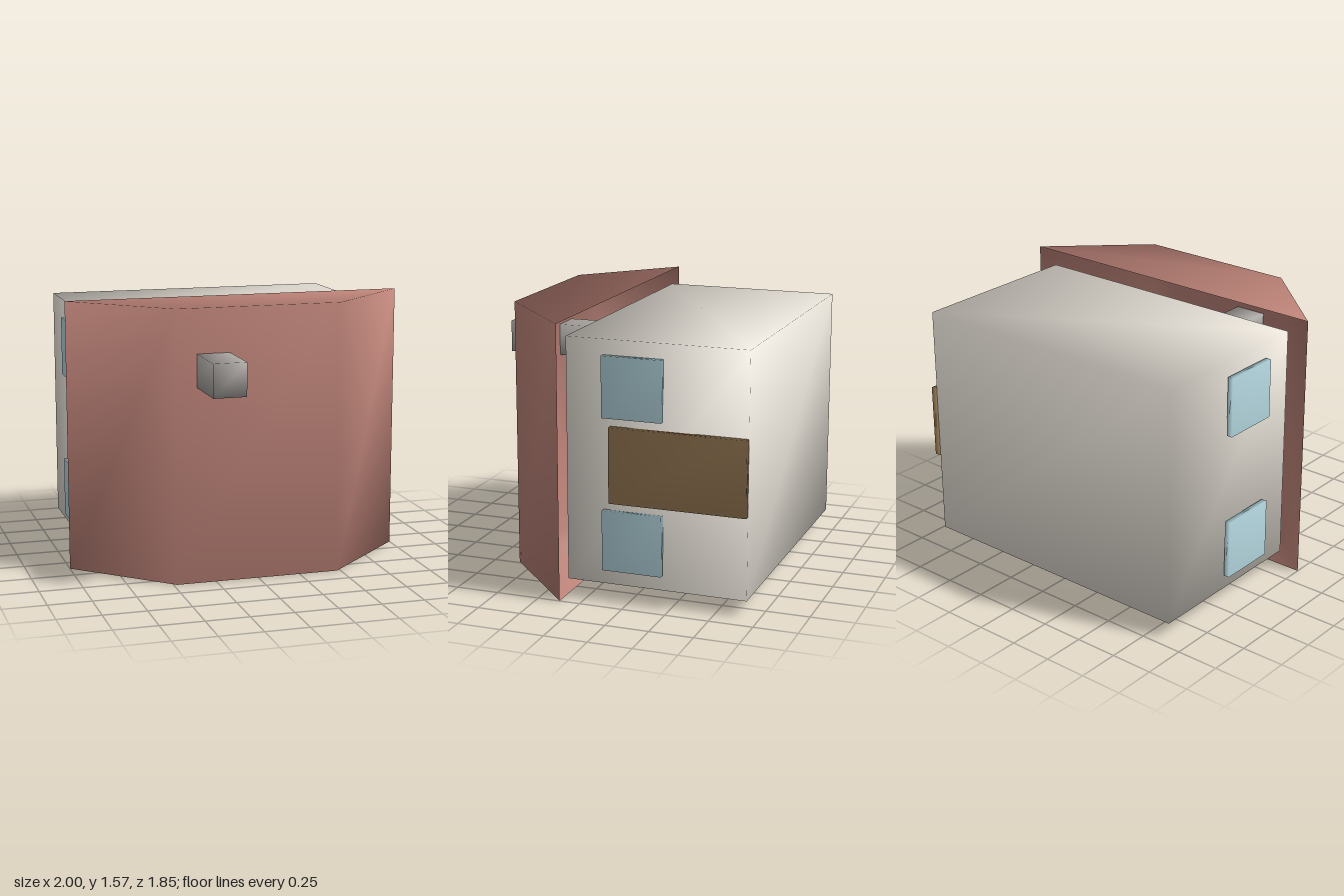
import * as THREE from 'three';
import { mergeVertices } from 'three/addons/utils/BufferGeometryUtils.js';

const COLORS = { wall: 0xece6dc, roof: 0xc0857a, chimney: 0xaaa6a2, door: 0x9e7e58, window: 0xb8dbe4 };

// Weld the corners so that normals run smoothly over the edges
function smooth(geometry) {
  geometry.deleteAttribute('normal');
  geometry.deleteAttribute('uv');
  const welded = mergeVertices(geometry);
  welded.computeVertexNormals();
  return welded;
}

// Box given by its [min, max] range on each axis
function box(name, color, [x0, x1], [y0, y1], [z0, z1]) {
  const geometry = smooth(new THREE.BoxGeometry(x1 - x0, y1 - y0, z1 - z0));
  geometry.translate((x0 + x1) / 2, (y0 + y1) / 2, (z0 + z1) / 2);
  const mesh = new THREE.Mesh(geometry, new THREE.MeshStandardMaterial({ color }));
  mesh.name = name;
  return mesh;
}

// Roof shell: tapering across x towards the ridge, hollow and open at the back
function roof() {
  const height = 1.57, back = 0.12, front = 0.6, ridge = 0.48;
  const geometry = new THREE.BoxGeometry(2, height, front - back);
  const pos = geometry.attributes.position;
  for (let i = 0; i < pos.count; i++) {
    if (pos.getZ(i) > 0) pos.setX(i, Math.sign(pos.getX(i)) * ridge);
  }
  geometry.translate(0, height / 2, (front + back) / 2);
  // The last box side (six indices) is the back one: leave it out
  geometry.setIndex(Array.from(geometry.index.array).slice(0, 30));
  const material = new THREE.MeshStandardMaterial({ color: COLORS.roof, side: THREE.DoubleSide });
  const mesh = new THREE.Mesh(smooth(geometry), material);
  mesh.name = 'roof';
  return mesh;
}

export function createModel() {
  const house = new THREE.Group();
  house.name = 'house';

  house.add(box('walls', COLORS.wall, [-0.87, 0.87], [0.09, 1.48], [-0.925, 0.12]));
  house.add(roof());
  house.add(box('chimney', COLORS.chimney, [-0.36, -0.17], [1.125, 1.315], [0.43, 0.925]));
  house.add(box('door', COLORS.door, [0.875, 0.912], [0.57, 1.0], [-0.925, -0.14]));

  // Two windows on each side wall
  for (const [side, x] of [['left', [0.878, 0.912]], ['right', [-0.915, -0.881]]]) {
    for (const y of [0.18, 1.05]) {
      house.add(box(`${side}Window`, COLORS.window, x, [y, y + 0.345], [-0.445, -0.1]));
    }
  }
  return house;
}
